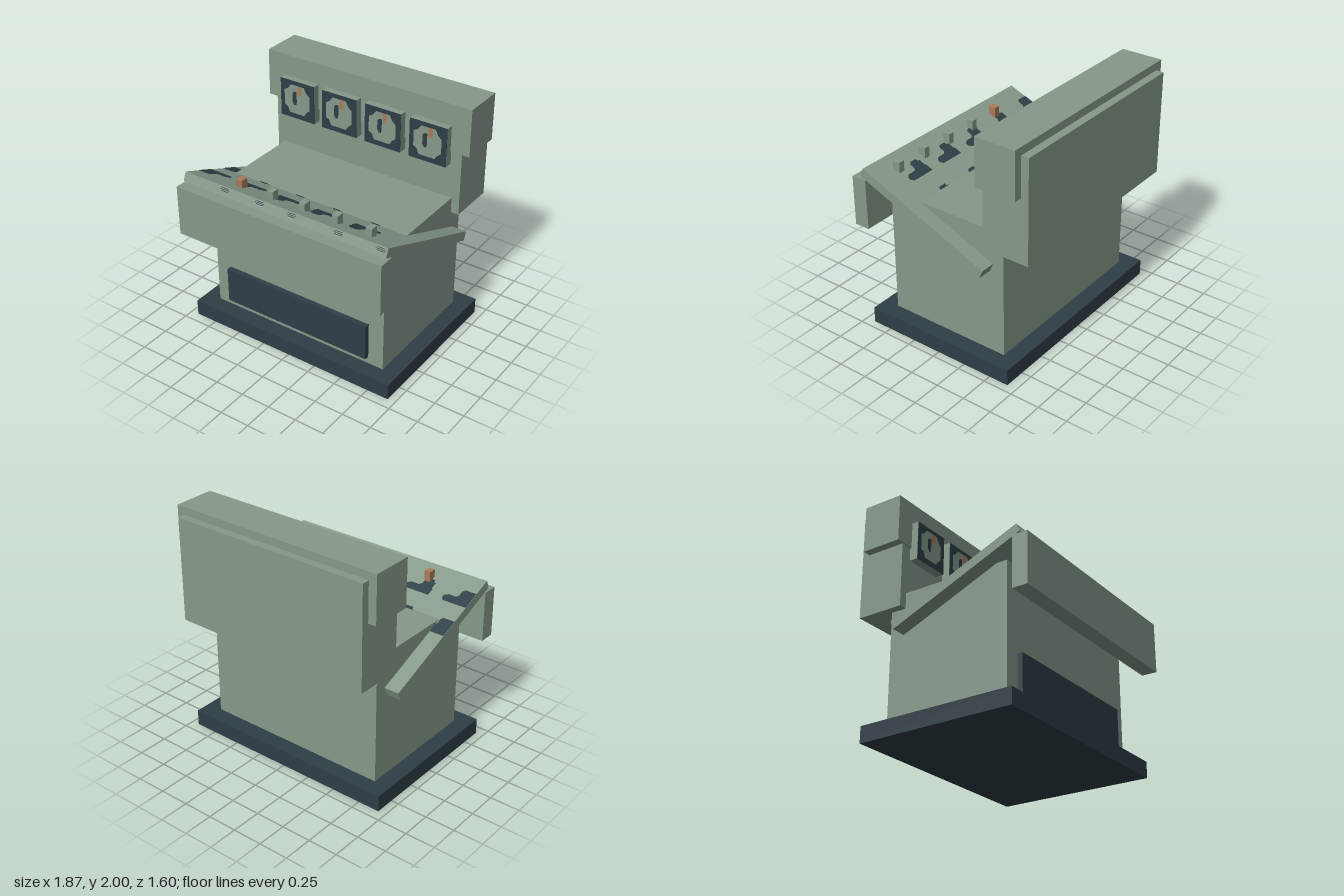
import * as THREE from 'three';

export function createModel() {
  const model = new THREE.Group();
  model.name = 'controlConsole';
  const mat = (name, color) => {
    const m = new THREE.MeshStandardMaterial({ color });
    m.name = name;
    return m;
  };
  const green = mat('sage green', 0x86998a);
  const dark = mat('dark slate', 0x2f3e46);
  const copper = mat('copper', 0xaa7a58);

  // box given by its limits on each axis
  const box = (name, material, [x0, x1], [y0, y1], [z0, z1], parent = model) => {
    const mesh = new THREE.Mesh(new THREE.BoxGeometry(x1 - x0, y1 - y0, z1 - z0), material);
    mesh.position.set((x0 + x1) / 2, (y0 + y1) / 2, (z0 + z1) / 2);
    mesh.name = name;
    parent.add(mesh);
    return mesh;
  };
  // flat painted patch from outline points in the xy plane
  const patch = (name, material, points, parent) => {
    const shape = new THREE.Shape(points.map(([x, y]) => new THREE.Vector2(x, y)));
    const mesh = new THREE.Mesh(new THREE.ShapeGeometry(shape), material);
    mesh.name = name;
    parent.add(mesh);
    return mesh;
  };

  // body
  box('base', dark, [-0.935, 0.935], [0, 0.135], [-0.667, 0.667]);
  box('cabinet', green, [-0.8, 0.8], [0.135, 1.2], [-0.533, 0.533]);
  box('kickPanel', dark, [-0.667, 0.667], [0.2, 0.507], [0.533, 0.575]);
  box('frontApron', green, [-0.935, 0.935], [0.87, 1.295], [0.67, 0.8]);
  box('backPanel', green, [-0.867, 0.867], [1.07, 1.935], [-0.8, -0.4]);
  box('hood', green, [-0.935, 0.935], [1.605, 2], [-0.735, -0.388]);
  box('underDeskStrip', dark, [-0.67, 0.67], [1.233, 1.285], [0.5, 0.613]);

  // sloping desk, raised at the front
  const tilt = 0.389, length = 1.227, thick = 0.075, deskZ = 0.145, deskY = 1.1175;
  const desk = new THREE.Group();
  desk.name = 'desk';
  desk.position.set(0, deskY, deskZ);
  desk.rotation.x = -tilt;
  model.add(desk);
  box('deskSlab', green, [-0.925, 0.925], [-thick / 2, thick / 2], [-length / 2, length / 2], desk);

  // painted markings on the desk top, placed by their level z
  const slopeZ = z => (z - deskZ + (thick / 2) * Math.sin(tilt)) / Math.cos(tilt);
  const outline = [
    [0, 0], [0.21, 0], [0.23, 0.02], [0.23, 0.045], [0.2, 0.065], [0.13, 0.065],
    [0.11, 0.085], [0.11, 0.125], [0.09, 0.145], [0.03, 0.145], [0.03, 0.125],
    [0.01, 0.12], [0.01, 0.07], [0, 0.06],
  ];
  const edgeOutline = [[0, 0], [0.21, 0], [0.23, 0.02], [0.23, 0.045], [0.2, 0.065],
    [0.13, 0.065], [0.115, 0.085], [0.115, 0.125], [0.1, 0.145], [0, 0.145]];
  for (const z of [0.41, 0.122]) {
    for (let i = 0; i < 5; i++) {
      const x = -0.925 + i * 0.347;
      const points = (i ? outline : edgeOutline).map(([px, pz]) => [x + px, -slopeZ(z + pz)]);
      const mark = patch('deskMarking', dark, points.reverse(), desk);
      mark.rotation.x = -Math.PI / 2;
      mark.position.y = thick / 2 + 0.003;
    }
  }
  // fine dashes on the front edge of the desk
  for (const x of [-0.527, -0.198, 0.095, 0.51, 0.87]) {
    [0, 0.012, 0.024].forEach((y, i) => {
      const w = i === 1 ? 0.042 : 0.032;
      box('edgeDash', dark, [x - w, x + w], [y - 0.002, y + 0.002],
        [length / 2, length / 2 + 0.002], desk);
    });
  }

  // row of upright switches
  for (let i = 0; i < 5; i++) {
    const x = -0.49 + i * 0.294;
    box('switch', i === 0 ? copper : green, [x - 0.026, x + 0.026], [1.28, 1.4], [0.52, 0.585]);
  }

  // four gauges with painted faces
  const dialOutline = [
    [-0.125, -0.06], [-0.095, -0.075], [-0.075, -0.12], [0.065, -0.12], [0.09, -0.085],
    [0.12, -0.06], [0.12, 0.06], [0.09, 0.085], [0.065, 0.13], [-0.06, 0.13],
    [-0.09, 0.09], [-0.125, 0.07],
  ];
  const needleOutline = [[-0.03, -0.045], [-0.012, -0.045], [-0.004, -0.02], [-0.004, 0.075],
    [-0.03, 0.075], [-0.045, 0.055], [-0.045, -0.02]];
  const markOutline = [[0.005, 0.045], [0.03, 0.045], [0.043, 0.065], [0.043, 0.13], [0.005, 0.13]];
  for (let i = 0; i < 4; i++) {
    const gauge = new THREE.Group();
    gauge.name = 'gauge';
    gauge.position.set((i - 1.5) * 0.406, 1.658, -0.325);
    model.add(gauge);
    box('gaugeCase', green, [-0.164, 0.164], [-0.164, 0.164], [-0.08, -0.003], gauge);
    box('gaugeFace', dark, [-0.164, 0.164], [-0.164, 0.164], [-0.003, 0], gauge);
    patch('gaugeDial', green, dialOutline, gauge).position.z = 0.002;
    patch('gaugeNeedle', dark, needleOutline, gauge).position.z = 0.004;
    patch('gaugeMark', copper, markOutline, gauge).position.z = 0.004;
  }
  return model;
}
